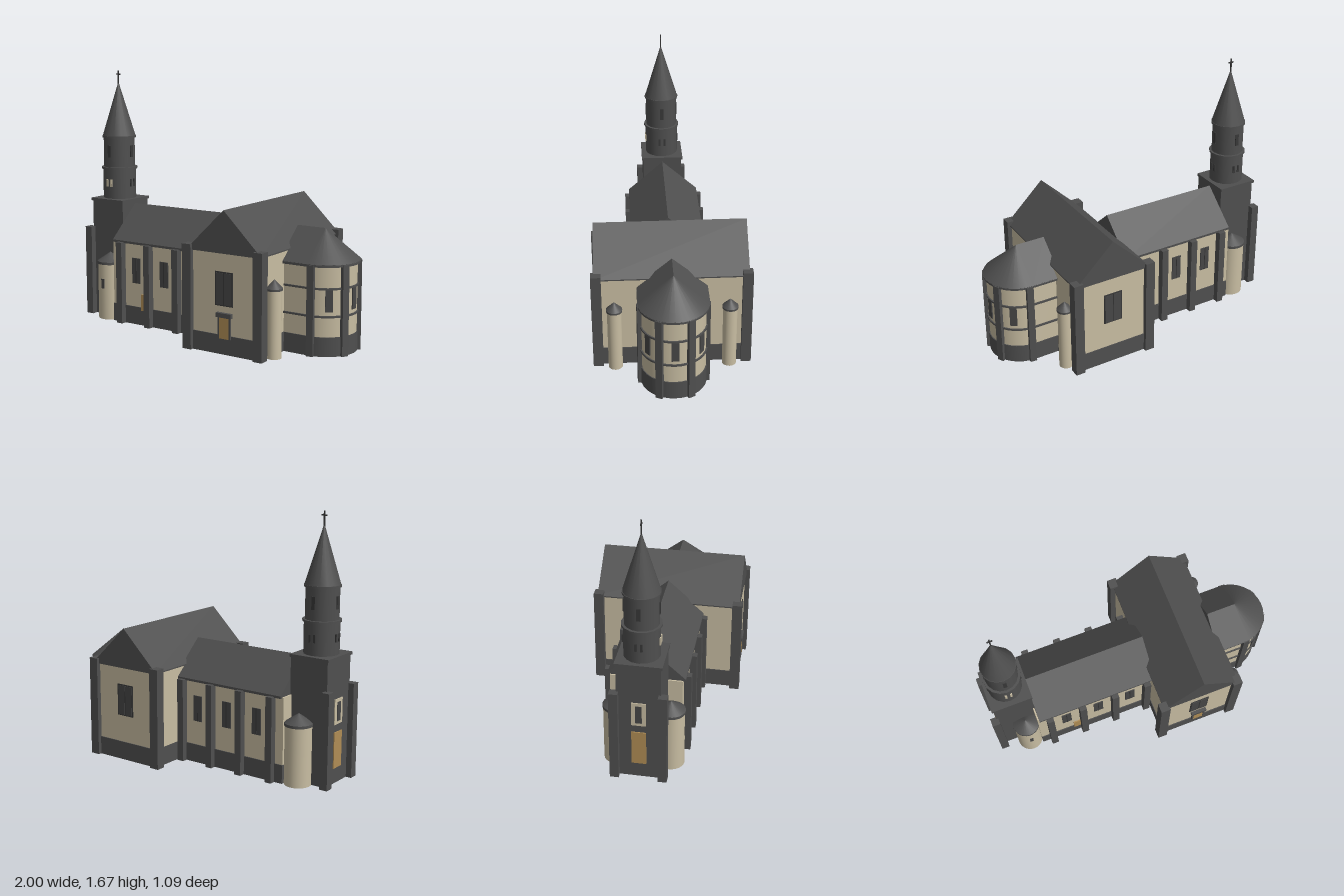
import * as THREE from 'three';

const mat = (name, color, side = THREE.FrontSide) => {
  const m = new THREE.MeshStandardMaterial({ color, side });
  m.name = name;
  return m;
};

export function createModel() {
  const stone = mat('dark stone', 0x4f4f4f);
  const wall = mat('cream plaster', 0xc8bda2);
  const glass = mat('window grey', 0x474747);
  const frame = mat('frame grey', 0x383838);
  const wood = mat('tan wood', 0xb08d55);

  // The church runs along local x and is turned slightly on its plot
  const root = new THREE.Group();
  const church = new THREE.Group();
  church.name = 'church';
  church.rotation.y = 0.185;
  church.position.set(0.013, 0, 0.071);
  root.add(church);

  const add = (name, geo, m, x, y, z, parent = church) => {
    const mesh = new THREE.Mesh(geo, m);
    mesh.name = name;
    mesh.position.set(x, y, z);
    parent.add(mesh);
    return mesh;
  };
  // Box given by its ranges in x and y and by centre and depth in z
  const block = (name, m, x0, x1, y0, y1, z, d, parent) =>
    add(name, new THREE.BoxGeometry(x1 - x0, y1 - y0, d), m, (x0 + x1) / 2, (y0 + y1) / 2, z, parent);
  const drum = (name, m, x, z, r, y0, y1, seg = 24, rTop = r) =>
    add(name, new THREE.CylinderGeometry(rTop, r, y1 - y0, seg), m, x, (y0 + y1) / 2, z);
  const cone = (name, x, z, r, y0, y1, seg = 24) =>
    add(name, new THREE.ConeGeometry(r, y1 - y0, seg), stone, x, (y0 + y1) / 2, z);
  // Gabled roof prism, extruded along z
  const gable = (half, y0, eave, ridge, length) => {
    const s = new THREE.Shape();
    s.moveTo(-half, y0);
    s.lineTo(half, y0);
    s.lineTo(half, eave);
    s.lineTo(0, ridge);
    s.lineTo(-half, eave);
    return new THREE.ExtrudeGeometry(s, { depth: length, bevelEnabled: false });
  };
  // Group whose +z points outwards at angle a from local +z, at radius r
  const facing = (name, x, z, a, r = 0) => {
    const g = new THREE.Group();
    g.name = name;
    g.position.set(x + Math.sin(a) * r, 0, z + Math.cos(a) * r);
    g.rotation.y = a;
    church.add(g);
    return g;
  };
  const H = Math.PI / 2;

  // Nave
  block('naveWall', wall, -0.71, 0.12, 0.002, 0.55, 0, 0.45);
  block('navePlinth', stone, -0.71, 0.12, 0, 0.12, 0, 0.462);
  const naveRoof = add('naveRoof', gable(0.242, 0.545, 0.56, 0.775, 0.82), stone, -0.7, 0, 0);
  naveRoof.rotation.y = H;
  for (const s of [1, -1]) {
    for (let i = 0; i < 4; i++) {
      const x = -0.63 + i * 0.23;
      block('naveButtress', stone, x - 0.023, x + 0.023, 0, 0.55, s * 0.24, 0.06);
      if (i < 3) {
        const w = facing('naveWindow', x + 0.116, s * 0.227, s > 0 ? 0 : Math.PI);
        block('naveGlass', glass, -0.033, 0.033, 0.28, 0.45, 0, 0.008, w);
        block('naveMullion', frame, -0.003, 0.003, 0.28, 0.45, 0.003, 0.006, w);
      }
    }
  }
  block('sideDoor', wood, -0.472, -0.418, 0.1, 0.21, 0.232, 0.008);

  // Transept
  const tx = 0.353;
  block('transeptWall', wall, 0.098, 0.608, 0.003, 0.63, 0, 0.94);
  block('transeptPlinth', stone, 0.093, 0.613, 0, 0.12, 0, 0.952);
  add('transeptRoof', gable(0.265, 0.622, 0.63, 0.885, 0.96), stone, tx, 0, -0.48);
  for (const x of [0.093, 0.605]) for (const z of [-0.468, 0.468])
    block('cornerButtress', stone, x - 0.032, x + 0.032, 0, 0.658, z, 0.064);
  for (const a of [0, Math.PI]) {
    const w = facing('transeptWindow', tx, 0, a, 0.471);
    block('transeptFrame', frame, -0.064, 0.064, 0.3, 0.51, 0, 0.008, w);
    for (const s of [-1, 1])
      block('transeptGlass', glass, s * 0.03 - 0.026, s * 0.03 + 0.026, 0.307, 0.503, 0.004, 0.006, w);
  }
  block('transeptDoor', wood, 0.325, 0.393, 0.1, 0.235, 0.48, 0.009);
  block('transeptLintel', stone, 0.305, 0.413, 0.232, 0.26, 0.478, 0.03);
  for (const x of [0.319, 0.399])
    block('doorJamb', stone, x - 0.006, x + 0.006, 0.1, 0.235, 0.48, 0.012);

  // Stair turrets beside the apse
  for (const s of [1, -1]) {
    drum('apseTurret', wall, 0.637, s * 0.36, 0.045, 0, 0.415);
    drum('apseTurretRim', stone, 0.637, s * 0.36, 0.05, 0.415, 0.428);
    cone('apseTurretRoof', 0.637, s * 0.36, 0.051, 0.428, 0.48);
  }

  // Apse: short straight bay ending in a round
  const ax = 0.78;
  block('apseBayWall', wall, 0.6, ax, 0.004, 0.555, 0, 0.4);
  drum('apseWall', wall, ax, 0, 0.2, 0.004, 0.555, 32);
  for (const [name, y0, y1, r] of [
    ['apsePlinth', 0, 0.12, 0.206], ['apseSillBand', 0.24, 0.252, 0.209],
    ['apseHeadBand', 0.41, 0.422, 0.209], ['apseCornice', 0.548, 0.565, 0.218],
  ]) {
    drum(name, stone, ax, 0, r, y0, y1, 32);
    block(name + 'Bay', stone, 0.6, ax, y0, y1, 0, r * 2);
  }
  const apseRoof = add('apseBayRoof', gable(0.22, 0.555, 0.563, 0.75, 0.195), stone, 0.585, 0, 0);
  apseRoof.rotation.y = H;
  cone('apseRoundRoof', ax, 0, 0.22, 0.563, 0.75, 32);
  for (const d of [-85, -27, 27, 85]) {
    const g = facing('apseButtress', ax, 0, H + THREE.MathUtils.degToRad(d), 0.203);
    block('apseButtressPier', stone, -0.022, 0.022, 0, 0.56, 0, 0.042, g);
  }
  for (const d of [-54, 0, 54]) {
    const g = facing('apseWindow', ax, 0, H + THREE.MathUtils.degToRad(d), 0.2);
    block('apseGlass', glass, -0.023, 0.023, 0.275, 0.41, 0, 0.009, g);
  }

  // Square tower base with west buttresses
  const wx = -0.833;
  block('towerBase', stone, -0.96, -0.7, 0, 0.79, 0, 0.27);
  block('towerCap', stone, -0.97, -0.695, 0.79, 0.808, 0, 0.288);
  for (const s of [1, -1])
    block('towerButtress', stone, -0.998, -0.945, 0, 0.61, s * 0.148, 0.055);
  const west = facing('westFront', wx, 0, -H, 0.129);
  block('westDoor', wood, -0.045, 0.045, 0.1, 0.33, 0, 0.009, west);
  block('westPanel', wall, -0.045, 0.045, 0.38, 0.54, 0, 0.008, west);
  block('westWindow', glass, -0.02, 0.02, 0.4, 0.52, 0.003, 0.008, west);

  // Round turrets flanking the tower
  for (const s of [1, -1]) {
    drum('towerTurret', wall, -0.785, s * 0.168, 0.085, 0, 0.38);
    drum('towerTurretRim', stone, -0.785, s * 0.168, 0.089, 0.378, 0.395);
    cone('towerTurretRoof', -0.785, s * 0.168, 0.089, 0.395, 0.455);
  }
  const slit = facing('turretSlit', -0.785, 0.168, 0, 0.084);
  block('turretSlitGlass', glass, -0.012, 0.012, 0.215, 0.28, 0, 0.008, slit);

  // Round belfry, spire and cross
  drum('belfryLower', stone, wx, 0, 0.112, 0.8, 1.01, 16);
  drum('belfryLowerRing', stone, wx, 0, 0.122, 1.008, 1.022, 16);
  drum('belfryUpper', stone, wx, 0, 0.106, 1.02, 1.222, 16);
  drum('belfryUpperRing', stone, wx, 0, 0.115, 1.22, 1.234, 16);
  cone('spire', wx, 0, 0.113, 1.23, 1.6, 16);
  for (let i = 0; i < 4; i++) {
    const low = facing('belfryLowerWindow', wx, 0, i * H, 0.111);
    for (const x of [-0.017, 0.017])
      block('belfryLight', i === 0 ? wall : frame, x - 0.007, x + 0.007, 0.89, 0.94, 0, 0.009, low);
    const up = facing('belfryUpperWindow', wx, 0, i * H, 0.105);
    block('belfrySlit', frame, -0.012, 0.012, 1.09, 1.17, 0, 0.009, up);
  }
  block('crossPost', frame, wx - 0.004, wx + 0.004, 1.58, 1.675, 0, 0.008);
  block('crossArm', frame, wx - 0.018, wx + 0.018, 1.645, 1.653, 0, 0.008);

  return root;
}
